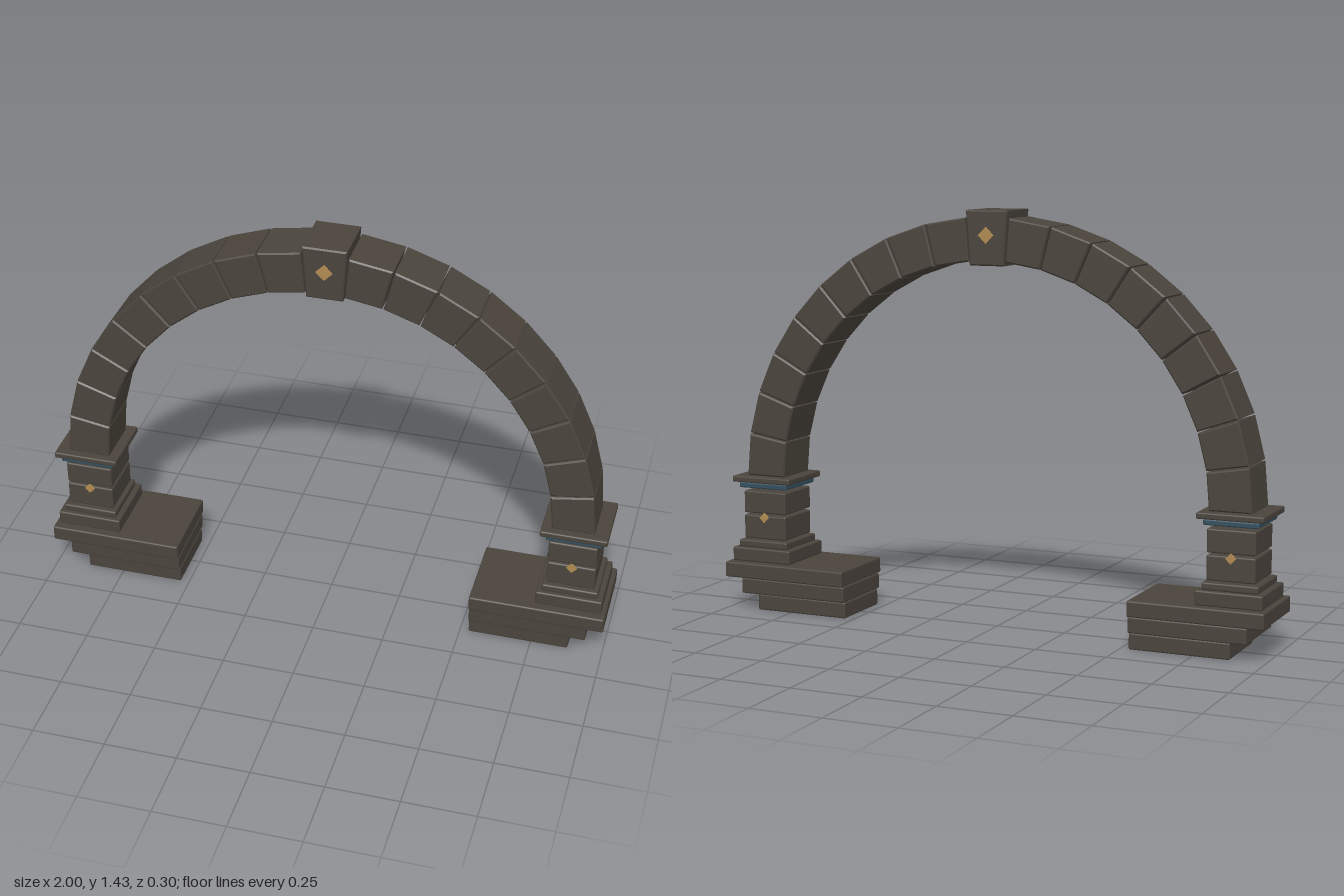
import * as THREE from 'three';
import { RoundedBoxGeometry } from 'three/addons/geometries/RoundedBoxGeometry.js';

const mat = (name, color) => Object.assign(new THREE.MeshStandardMaterial({ color }), { name });

export function createModel() {
  const stone = mat('dark stone', 0x4a443c);
  const blue = mat('slate blue', 0x34505f);
  const gold = mat('old gold', 0xb08a50);
  const model = new THREE.Group();
  model.name = 'archway';

  const add = (parent, name, geometry, material) => {
    const mesh = new THREE.Mesh(geometry, material);
    mesh.name = name;
    parent.add(mesh);
    return mesh;
  };

  // Block with softened edges, given by its x and y range and half depth
  const block = (parent, name, x0, x1, y0, y1, hz, material = stone) => {
    const radius = Math.min(0.006, (y1 - y0) * 0.25);
    const geometry = new RoundedBoxGeometry(x1 - x0, y1 - y0, hz * 2, 2, radius);
    add(parent, name, geometry, material).position.set((x0 + x1) / 2, (y0 + y1) / 2, 0);
  };

  // Chamfered prism cut from a front outline
  const prism = (points, hz, bevel = 0.005) => {
    const shape = new THREE.Shape(points.map(([x, y]) => new THREE.Vector2(x, y)));
    const geometry = new THREE.ExtrudeGeometry(shape, {
      depth: 2 * (hz - bevel), bevelEnabled: true, bevelThickness: bevel,
      bevelSize: bevel, bevelOffset: -bevel, bevelSegments: 1,
    });
    return geometry.translate(0, 0, bevel - hz);
  };

  // Gold diamond plates on the front and back faces
  const diamonds = (parent, name, x, y, r, z) => {
    for (const s of [1, -1]) {
      const geometry = new THREE.BoxGeometry(r * Math.SQRT2, r * Math.SQRT2, 0.008);
      const mesh = add(parent, name, geometry.rotateZ(Math.PI / 4), gold);
      mesh.position.set(x, y, s * z);
    }
  };

  // Piers: corbelled steps, plinth, shaft and capital
  const parts = [
    ['lowerStep', 0.53, 0.88, 0, 0.057, 0.125],
    ['middleStep', 0.53, 0.94, 0.058, 0.114, 0.138],
    ['upperStep', 0.53, 1, 0.115, 0.17, 0.15],
    ['plinth', 0.755, 0.985, 0.17, 0.22, 0.12],
    ['plinthMoulding', 0.773, 0.967, 0.22, 0.246, 0.106],
    ['lowerShaftBlock', 0.785, 0.952, 0.25, 0.335, 0.092],
    ['upperShaftBlock', 0.785, 0.952, 0.342, 0.422, 0.092],
    ['capitalBand', 0.775, 0.965, 0.434, 0.454, 0.102, blue],
    ['capitalSlab', 0.755, 0.985, 0.455, 0.477, 0.116],
  ];
  for (const side of [1, -1]) {
    const pier = new THREE.Group();
    pier.name = side > 0 ? 'leftPier' : 'rightPier';
    for (const [name, a, b, y0, y1, hz, material] of parts) {
      block(pier, name, side > 0 ? a : -b, side > 0 ? b : -a, y0, y1, hz, material);
    }
    diamonds(pier, 'pierDiamond', side * 0.869, 0.328, 0.018, 0.093);
    model.add(pier);
  }

  // Ring of wedge stones, leaving the middle place for the keystone
  const arch = new THREE.Group();
  arch.name = 'arch';
  const count = 19, centreY = 0.476, inner = 0.79, outer = 0.937, gap = 0.003;
  const at = (r, a) => [r * Math.cos(a), centreY + r * Math.sin(a)];
  for (let i = 0; i < count; i++) {
    if (i === (count - 1) / 2) continue;
    const a0 = (i / count) * Math.PI + gap, a1 = ((i + 1) / count) * Math.PI - gap;
    add(arch, 'archStone', prism([at(inner, a0), at(outer, a0), at(outer, a1), at(inner, a1)], 0.09), stone);
  }
  add(arch, 'keystone', prism([[-0.062, 1.25], [0.062, 1.25], [0.076, 1.435], [-0.076, 1.435]], 0.092), stone);
  diamonds(arch, 'keystoneDiamond', 0, 1.352, 0.028, 0.094);
  model.add(arch);

  return model;
}
